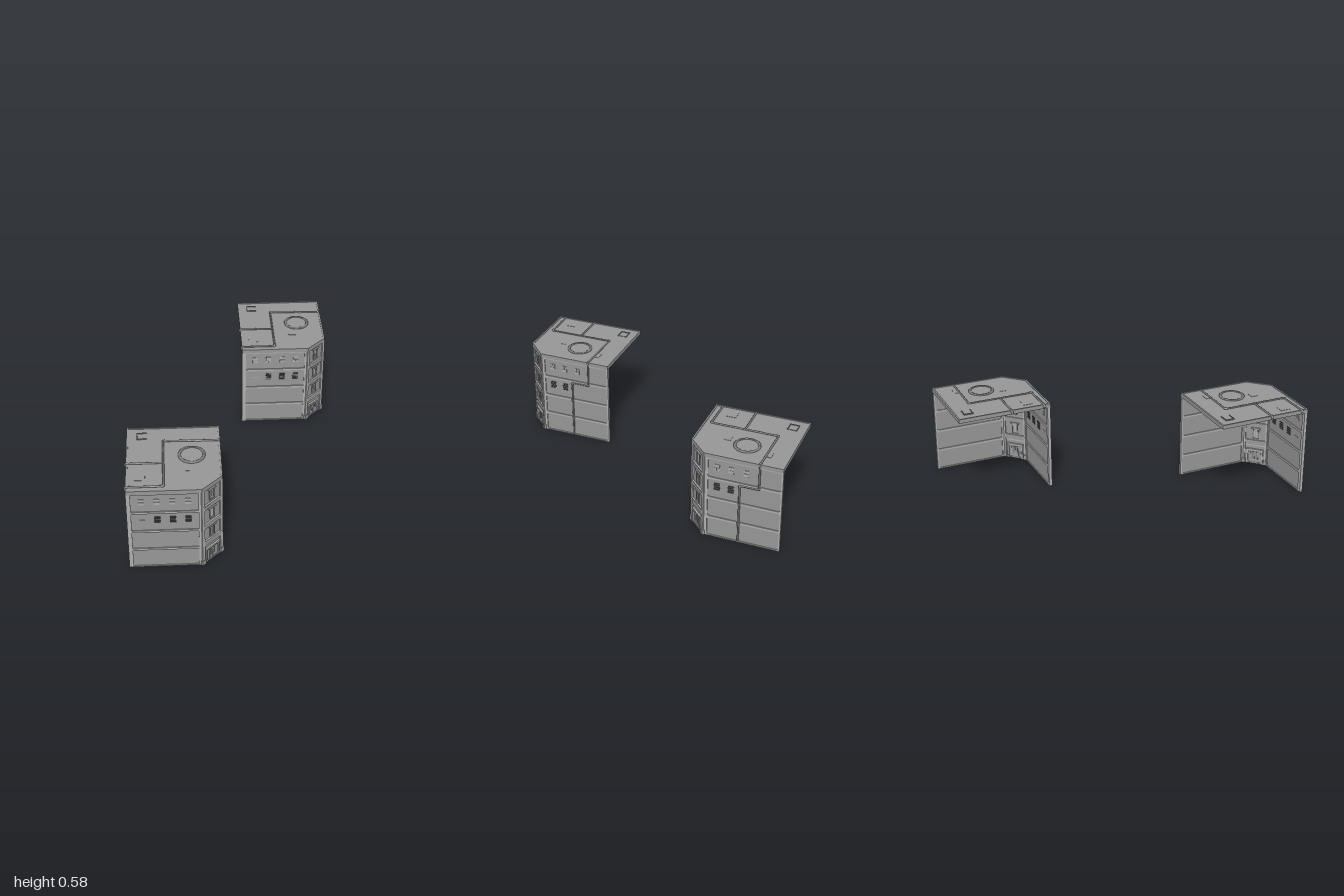
import * as THREE from 'three';

const mat = (name, color) => {
  const m = new THREE.MeshStandardMaterial({ color });
  m.name = name;
  return m;
};
const wallGrey = mat('wall grey', 0x979797);
const trimGrey = mat('trim grey', 0xaeaeae);
const pipeGrey = mat('pipe grey', 0x7c7e7c);
const boardGrey = mat('dark board grey', 0x484a48);

const W = 0.55, D = 0.595, CUT = 0.12; // footprint and corner cut
const INSET = 0.012;
const FLOORS = [[0.008, 0.128], [0.142, 0.263], [0.277, 0.401], [0.415, 0.538]];

function add(parent, name, geo, material, x = 0, y = 0, z = 0) {
  const m = new THREE.Mesh(geo, material);
  m.name = name;
  m.position.set(x, y, z);
  parent.add(m);
  return m;
}
const box = (parent, name, material, w, h, d, x, y, z = 0) =>
  add(parent, name, new THREE.BoxGeometry(w, h, d), material, x, y, z);

function polygon(points, Type = THREE.Shape) {
  const s = new Type();
  points.forEach(([x, y], i) => (i ? s.lineTo(x, y) : s.moveTo(x, y)));
  s.closePath();
  return s;
}

// Wall: a thin slab inside a raised frame with one opening per storey
function wall(name, length, x0, x1, c) {
  const g = new THREE.Group();
  g.name = name;
  const frame = polygon([[0, 0], [length, 0], [length, 0.548], [0, 0.548]]);
  for (const [a, b] of FLOORS) {
    frame.holes.push(polygon([[x0 + c, a], [x0, a + c], [x0, b - c], [x0 + c, b],
      [x1 - c, b], [x1, b - c], [x1, a + c], [x1 - c, a]], THREE.Path));
  }
  const geo = new THREE.ExtrudeGeometry(frame, { depth: 0.02, bevelEnabled: false });
  add(g, 'wallFrame', geo, trimGrey, 0, 0, -0.01);
  box(g, 'wallPanel', wallGrey, length - 0.01, 0.54, 0.008, length / 2, 0.274);
  return g;
}

// Four-pane window showing on both wall faces
function paneWindow(g, x) {
  const w = new THREE.Group();
  w.name = 'paneWindow';
  w.position.set(x, 0.485, 0);
  for (const i of [-1, 1]) for (const j of [-1, 1]) {
    box(w, 'pane', trimGrey, 0.014, 0.019, 0.014, i * 0.0085, j * 0.011);
  }
  g.add(w);
}

// Window closed with slightly crooked boards
function boardedWindow(g, x) {
  const w = new THREE.Group();
  w.name = 'boardedWindow';
  w.position.set(x, 0.353, 0);
  for (let i = 0; i < 4; i++) {
    const b = box(w, 'board', boardGrey, 0.036, 0.008, 0.016, (i % 2) * 0.002, -0.019 + i * 0.013);
    b.rotation.z = (i % 2 ? 1 : -1) * 0.02;
  }
  g.add(w);
}

// Tall window on the cut corner
function cornerWindow(g, y) {
  const w = new THREE.Group();
  w.name = 'cornerWindow';
  w.position.set(0.085, y, 0);
  box(w, 'windowHeader', trimGrey, 0.06, 0.009, 0.026, 0, 0.038);
  box(w, 'windowSill', trimGrey, 0.042, 0.006, 0.022, 0, -0.036);
  for (const i of [-1, 1]) {
    box(w, 'windowJamb', pipeGrey, 0.005, 0.07, 0.018, i * 0.017, 0);
    box(w, 'windowSash', trimGrey, 0.011, 0.062, 0.012, i * 0.007, 0);
  }
  g.add(w);
}

function entrance(g) {
  const d = new THREE.Group();
  d.name = 'entrance';
  d.position.set(0.085, 0, 0);
  box(d, 'doorHeader', trimGrey, 0.115, 0.011, 0.032, 0, 0.1);
  box(d, 'doorLintel', pipeGrey, 0.1, 0.006, 0.022, 0, 0.089);
  for (const i of [-1, 1]) {
    box(d, 'doorPost', trimGrey, 0.01, 0.095, 0.026, i * 0.05, 0.0475);
    box(d, 'sideLight', wallGrey, 0.014, 0.07, 0.012, i * 0.034, 0.045);
    box(d, 'doorLeaf', wallGrey, 0.021, 0.08, 0.014, i * 0.012, 0.042);
    box(d, 'doorGlass', pipeGrey, 0.011, 0.045, 0.018, i * 0.012, 0.055);
  }
  g.add(d);
}

// Pipe through corner points with rounded bends
function pipe(parent, name, pts) {
  const v = pts.map((p) => new THREE.Vector3(...p));
  const path = new THREE.CurvePath();
  let from = v[0];
  for (let i = 1; i < v.length - 1; i++) {
    const a = v[i].clone().add(v[i - 1].clone().sub(v[i]).setLength(0.012));
    const b = v[i].clone().add(v[i + 1].clone().sub(v[i]).setLength(0.012));
    const bend = new THREE.QuadraticBezierCurve3(a, v[i], b);
    path.add(new THREE.LineCurve3(from, a));
    path.add(bend);
    add(parent, 'pipeElbow', new THREE.TubeGeometry(bend, 8, 0.0085, 8), pipeGrey);
    from = b;
  }
  path.add(new THREE.LineCurve3(from, v[v.length - 1]));
  add(parent, name, new THREE.TubeGeometry(path, 260, 0.006, 8), pipeGrey);
}

function roof(b) {
  const outline = (e) => {
    const k = CUT + e * 0.586;
    return [[e, -e], [e, -(D - e)], [W - k, -(D - e)], [W - e, -(D - k)], [W - e, -e]];
  };
  const slab = new THREE.ExtrudeGeometry(polygon(outline(0.002)), { depth: 0.02, bevelEnabled: false });
  add(b, 'roofSlab', slab.rotateX(-Math.PI / 2), wallGrey, 0, 0.546, 0);
  const rim = polygon(outline(0));
  rim.holes.push(polygon(outline(0.01), THREE.Path));
  const rimGeo = new THREE.ExtrudeGeometry(rim, { depth: 0.026, bevelEnabled: false });
  add(b, 'cornice', rimGeo.rotateX(-Math.PI / 2), wallGrey, 0, 0.544, 0);

  // Round hatch
  const ring = new THREE.LatheGeometry([[0.08, 0], [0.08, 0.006], [0.076, 0.009], [0.068, 0.009], [0.064, 0.007], [0.064, 0]]
    .map(([x, y]) => new THREE.Vector2(x, y)), 40);
  add(b, 'roundHatchRing', ring, pipeGrey, 0.38, 0.565, 0.272).material.side = THREE.DoubleSide;
  add(b, 'roundHatchLid', new THREE.CylinderGeometry(0.066, 0.066, 0.005, 40), wallGrey, 0.38, 0.567, 0.272);

  // Square hatch with a raised lip on three sides
  box(b, 'squareHatch', wallGrey, 0.056, 0.004, 0.052, 0.09, 0.567, 0.083);
  box(b, 'hatchLip', pipeGrey, 0.005, 0.008, 0.06, 0.062, 0.569, 0.083);
  for (const z of [0.056, 0.11]) box(b, 'hatchLip', pipeGrey, 0.06, 0.008, 0.005, 0.09, 0.569, z);

  // Flat roof patches
  for (const [x, z, w, d] of [[0.08, 0.465, 0.06, 0.06], [0.43, 0.125, 0.05, 0.04], [0.34, 0.4, 0.05, 0.04]]) {
    box(b, 'roofPatch', wallGrey, w, 0.004, d, x, 0.566, z);
  }
}

function building(name) {
  const b = new THREE.Group();
  b.name = name;

  const front = wall('frontWall', W - CUT, 0.025, 0.409, 0.0005);
  front.position.z = D - INSET;
  [0.085, 0.173, 0.262, 0.35].forEach((x, i) => {
    paneWindow(front, x);
    if (i) boardedWindow(front, x);
    else box(front, 'loneBoard', trimGrey, 0.038, 0.004, 0.014, x, 0.351);
  });

  const side = wall('sideWall', D - CUT, 0.025, 0.465, 0.008);
  side.position.set(W - INSET, 0, D - CUT);
  side.rotation.y = Math.PI / 2;
  [0.079, 0.165, 0.255].forEach((x, i) => {
    paneWindow(side, x);
    if (i < 2) boardedWindow(side, x);
  });

  const len = CUT * Math.SQRT2, n = INSET * Math.SQRT1_2;
  const corner = wall('cornerWall', len, 0.018, len - 0.018, 0.001);
  corner.position.set(W - CUT - n, 0, D - n);
  corner.rotation.y = Math.PI / 4;
  for (const y of [0.215, 0.35, 0.487]) cornerWindow(corner, y);
  for (const y of [0.152, 0.276, 0.414]) {
    box(corner, 'ledge', wallGrey, 0.134, 0.03, 0.022, len / 2, y);
    box(corner, 'ledgeLip', trimGrey, 0.14, 0.006, 0.03, len / 2, y + 0.015);
  }
  entrance(corner);
  for (const x of [0.008, len - 0.008]) {
    box(corner, 'pillar', trimGrey, 0.022, 0.546, 0.024, x, 0.273);
    box(corner, 'pillarBase', wallGrey, 0.03, 0.032, 0.034, x, 0.016);
  }
  b.add(front, side, corner);
  roof(b);

  // Drain pipes running over the roof and down the walls
  const px = W - 0.004, top = 0.568;
  pipe(b, 'mainPipe', [[px, 0, 0.256], [px, 0.397, 0.256], [px, 0.397, 0.14], [px, top, 0.14],
    [0.215, top, 0.135], [0.215, top, 0.552], [-0.002, top, 0.552], [-0.002, 0.545, 0.552]]);
  pipe(b, 'branchPipe', [[0.215, top, 0.34], [-0.002, top, 0.34], [-0.002, 0.545, 0.34]]);
  for (const y of [0.135, 0.27]) {
    add(b, 'pipeClamp', new THREE.CylinderGeometry(0.009, 0.009, 0.014, 10), pipeGrey, px, y, 0.256);
  }
  return b;
}

export function createModel() {
  const model = new THREE.Group();
  model.name = 'cornerBuildings';
  const a = building('frontBuilding');
  a.position.set(-0.645, 0, 0.405);
  const c = building('rearBuilding');
  c.position.set(0.091, 0, -1);
  model.add(a, c);
  return model;
}
